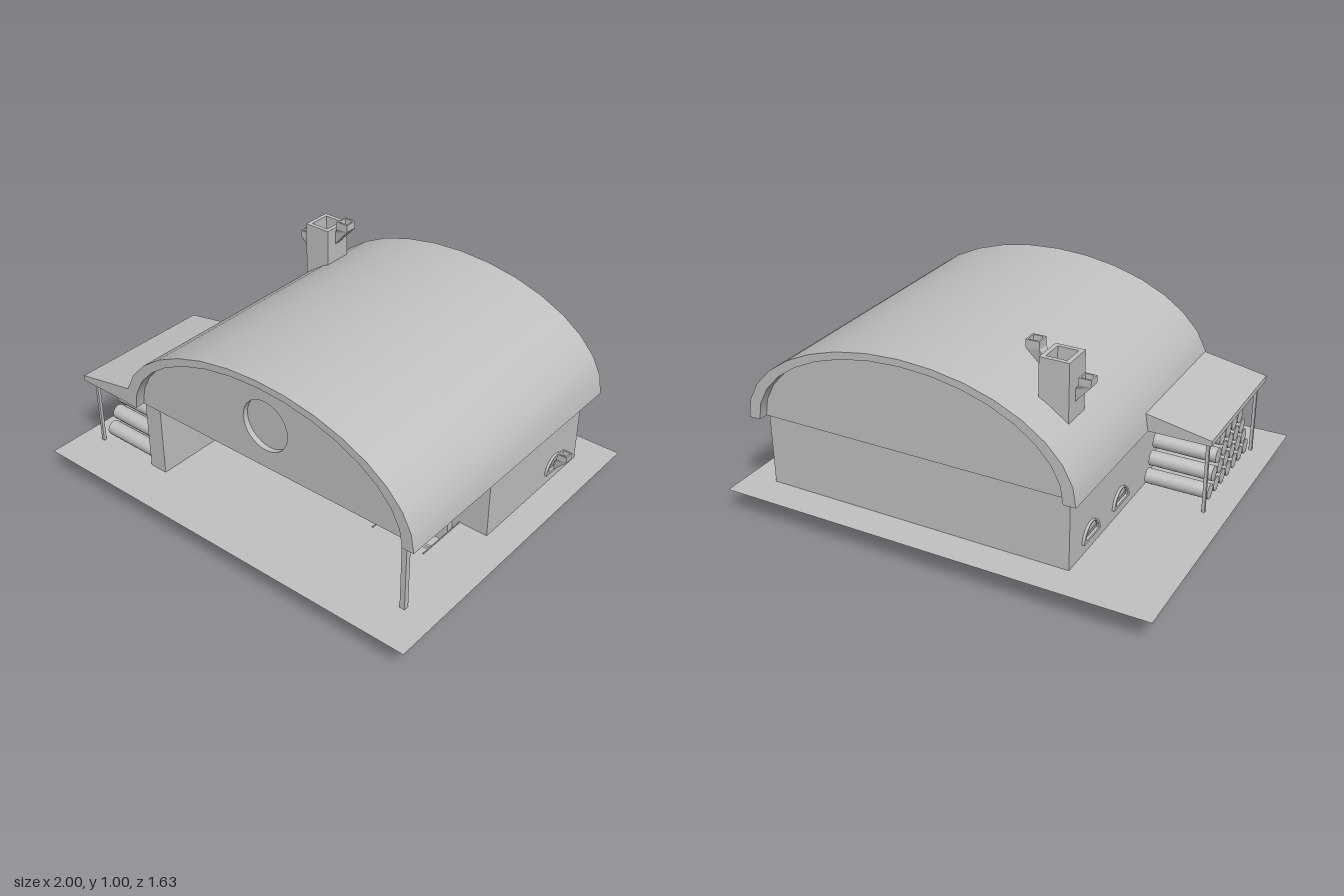
import * as THREE from 'three';
import { toCreasedNormals } from 'three/addons/utils/BufferGeometryUtils.js';

export function createModel() {
  const model = new THREE.Group();
  model.name = 'house';
  const stone = new THREE.MeshStandardMaterial({ color: 0xc0c0c0 });
  stone.name = 'plain grey';
  const sheet = new THREE.MeshStandardMaterial({ color: 0xc0c0c0, side: THREE.DoubleSide });
  sheet.name = 'plain grey sheet';

  const GROUND = 0.12, EAVE = 0.46, MID = 0.14;

  function add(name, geometry, material = stone, parent = model) {
    const mesh = new THREE.Mesh(geometry, material);
    mesh.name = name;
    parent.add(mesh);
    return mesh;
  }
  // Box given by its limits on each axis
  function box(name, x0, x1, y0, y1, z0, z1) {
    const g = new THREE.BoxGeometry(x1 - x0, y1 - y0, z1 - z0);
    g.translate((x0 + x1) / 2, (y0 + y1) / 2, (z0 + z1) / 2);
    return add(name, g);
  }
  const poly = (pts) => new THREE.Shape(pts.map(([x, y]) => new THREE.Vector2(x, y)));
  function rect(x0, x1, y0, y1) {
    return poly([[x0, y0], [x1, y0], [x1, y1], [x0, y1]]);
  }
  function extrude(shape, depth, curveSegments = 24) {
    const g = new THREE.ExtrudeGeometry(shape, { depth, bevelEnabled: false, curveSegments });
    return toCreasedNormals(g, 0.6);
  }
  // Points of a half ellipse over the eave line, right to left
  function arch(a, b, n = 16) {
    return Array.from({ length: n + 1 }, (_, i) => {
      const t = (Math.PI * i) / n;
      return [MID + a * Math.cos(t), EAVE + b * Math.sin(t)];
    });
  }

  // Ground sheet with an opening over the sunken entrance
  const land = rect(-1, 1, -0.815, 0.815);
  land.holes.push(rect(0.46, 0.72, -0.31, -0.05));
  const landGeo = new THREE.ShapeGeometry(land);
  landGeo.rotateX(-Math.PI / 2);
  add('ground', landGeo, sheet).position.y = GROUND;

  // Main room and the side wall of the porch
  box('mainRoom', -0.58, 0.86, 0.01, EAVE, -0.66, 0.05);
  box('porchWall', -0.58, -0.49, 0.01, EAVE, 0.04, 0.6);

  // Vault: solid gable body with a round recess at the front, and the curved roof
  const gable = poly(arch(0.722, 0.417));
  add('gableBody', extrude(gable, 1.265)).position.z = -0.68;
  const front = poly(arch(0.722, 0.417));
  front.holes.push(new THREE.Path().absarc(MID, 0.665, 0.118, 0, Math.PI * 2, true));
  add('gableFront', extrude(front, 0.025, 16)).position.z = 0.585;
  const roof = poly([...arch(0.775, 0.446), ...arch(0.72, 0.415).reverse()]);
  add('vaultedRoof', extrude(roof, 1.38)).position.z = -0.725;

  // Lean-to roof over the wood store
  const lean = poly([[-0.918, EAVE], [-0.58, EAVE], [-0.58, 0.55], [-0.63, 0.538], [-0.918, 0.485]]);
  add('leanToRoof', extrude(lean, 0.69)).position.z = -0.038;

  // Posts
  box('porchPost', 0.836, 0.86, 0.1, EAVE, 0.598, 0.622);
  for (const z of [0, 0.605]) box('leanToPost', -0.897, -0.883, 0.115, EAVE, z - 0.007, z + 0.007);

  // Stacked logs, each row shifted by half a log
  const logGeo = new THREE.CylinderGeometry(0.035, 0.035, 0.29, 16);
  logGeo.rotateZ(Math.PI / 2);
  for (let row = 0; row < 4; row++) {
    for (let i = 0; i < 7 - row; i++) {
      add('log', logGeo).position.set(-0.735, 0.163 + row * 0.07, 0.098 + row * 0.0375 + i * 0.075);
    }
  }

  // Steps down to the door, with the sides and floor of the pit
  const profile = [[0.31, 0.01], [0.31, GROUND], [0.275, GROUND]];
  for (let i = 1; i <= 4; i++) {
    const y = GROUND - i * 0.0275;
    profile.push([0.31 - i * 0.035, y]);
    if (i < 4) profile.push([0.275 - i * 0.035, y]);
  }
  const steps = add('steps', extrude(poly(profile), 0.26));
  steps.rotation.y = -Math.PI / 2;
  steps.position.x = 0.72;
  box('pitFloor', 0.46, 0.72, 0.006, 0.011, 0.05, 0.31);
  box('pitSide', 0.456, 0.46, 0.006, 0.124, 0.05, 0.312);
  box('pitSide', 0.72, 0.724, 0.006, 0.124, 0.05, 0.312);

  // Arched door
  const door = new THREE.Shape();
  door.moveTo(0.495, 0);
  door.lineTo(0.685, 0);
  door.lineTo(0.685, 0.192);
  door.absarc(0.59, 0.192, 0.095, 0, Math.PI, false);
  add('door', extrude(door, 0.035, 12)).position.z = 0.048;

  // Half-round windows: raised arched frame with a sloping pane inside
  function windowAt(x, z, turn) {
    const group = new THREE.Group();
    group.name = 'window';
    const frame = new THREE.Shape();
    frame.absarc(0, 0, 0.075, 0, Math.PI, false);
    const gap = new THREE.Path();
    gap.moveTo(0.06, 0.012);
    gap.absarc(0, 0.012, 0.058, 0, Math.PI, false);
    frame.holes.push(gap);
    add('windowFrame', extrude(frame, 0.014, 12), stone, group);
    const pane = new THREE.Shape();
    pane.absellipse(0, 0, 0.057, 0.042, 0, Math.PI, false);
    const slope = add('windowSill', new THREE.ShapeGeometry(pane, 12), sheet, group);
    slope.position.set(0, 0.014, 0.002);
    slope.rotation.x = 0.35;
    group.position.set(x, 0.172, z);
    group.rotation.y = turn;
    model.add(group);
  }
  windowAt(0.858, -0.47, Math.PI / 2);
  for (const z of [-0.47, -0.18]) windowAt(-0.578, z, -Math.PI / 2);

  // Chimney: square hollow shaft
  const shaft = rect(-0.065, 0.065, -0.07, 0.07);
  shaft.holes.push(rect(-0.045, 0.045, -0.05, 0.05));
  const shaftGeo = extrude(shaft, 0.4);
  shaftGeo.rotateX(-Math.PI / 2);
  add('chimney', shaftGeo).position.set(-0.445, 0.56, -0.475);

  // Open square spout: rings of [outer x, outer y, inner x, inner y, half depth]
  function spoutGeometry() {
    const rings = [
      [0, 0, 0, 0.06, 0.016], [0.08, 0.09, 0.02, 0.09, 0.03], [0.08, 0.125, 0.02, 0.125, 0.03],
      [0.072, 0.125, 0.028, 0.125, 0.022], [0.07, 0.095, 0.03, 0.095, 0.02],
    ].map(([ox, oy, ix, iy, d]) => [[ox, oy, d], [ox, oy, -d], [ix, iy, -d], [ix, iy, d]]);
    const pos = [];
    const quad = (a, b, c, d) => pos.push(...a, ...b, ...c, ...a, ...c, ...d);
    for (let r = 0; r < rings.length - 1; r++) {
      for (let i = 0; i < 4; i++) {
        const j = (i + 1) % 4;
        quad(rings[r][i], rings[r][j], rings[r + 1][j], rings[r + 1][i]);
      }
    }
    quad(...rings[4]);
    const g = new THREE.BufferGeometry();
    g.setAttribute('position', new THREE.Float32BufferAttribute(pos, 3));
    g.computeVertexNormals();
    return g;
  }
  const spoutGeo = spoutGeometry();
  function spout(name, x, y, z, size, turn = 0) {
    const mesh = add(name, spoutGeo);
    mesh.position.set(x, y, z);
    mesh.scale.setScalar(size);
    mesh.rotation.y = turn;
  }
  spout('chimneySpout', -0.381, 0.875, -0.475, 1);
  spout('chimneySpout', -0.509, 0.774, -0.475, 0.9, Math.PI);
  spout('windowSpout', 0.868, 0.172, -0.47, 0.8);

  return model;
}
